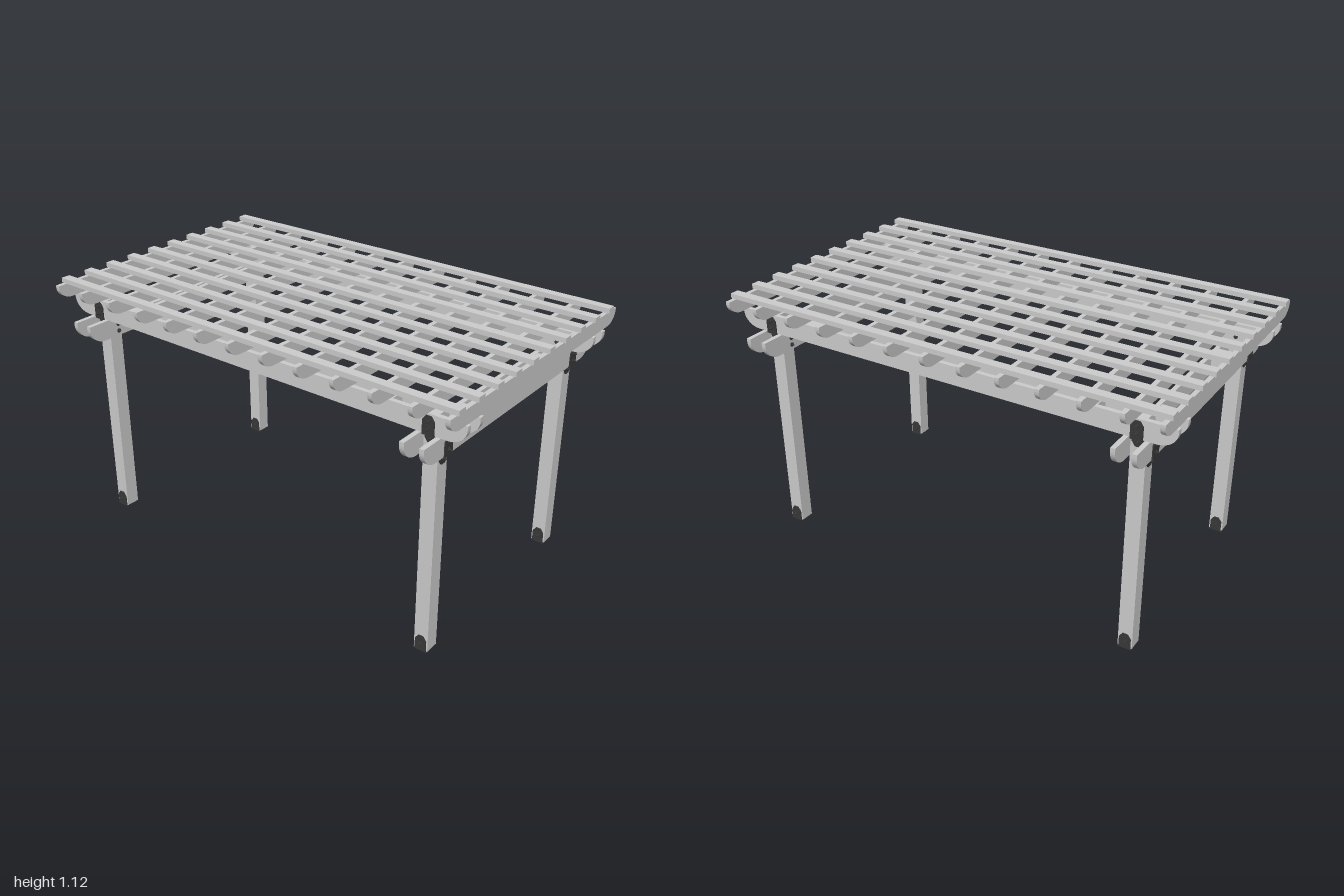
import * as THREE from 'three';
import { toCreasedNormals } from 'three/addons/utils/BufferGeometryUtils.js';

const PX = 0.846, PZ = 0.47;   // post centres
const PW = 0.062, T = 0.02;    // post width, board thickness
const OFF = PW / 2 + T / 2;    // offset of paired beams from the post centre

const wood = new THREE.MeshStandardMaterial({ color: 0xcccccc });
const steel = new THREE.MeshStandardMaterial({ color: 0x383838 });

function add(parent, name, geometry, material, x, y, z) {
  const mesh = new THREE.Mesh(geometry, material);
  mesh.name = name;
  mesh.position.set(x, y, z);
  parent.add(mesh);
  return mesh;
}

// Board along x, standing on y = 0, with both lower ends rounded
function boardGeometry(length, height, rx, ry) {
  const h = length / 2;
  const s = new THREE.Shape();
  s.moveTo(-h, height);
  s.lineTo(-h, ry);
  s.absellipse(-h + rx, ry, rx, ry, Math.PI, Math.PI * 1.5, false);
  s.lineTo(h - rx, 0);
  s.absellipse(h - rx, ry, rx, ry, -Math.PI / 2, 0, false);
  s.lineTo(h, height);
  s.closePath();
  const g = new THREE.ExtrudeGeometry(s, { depth: T, bevelEnabled: false, curveSegments: 12 });
  g.translate(0, 0, -T / 2);
  return toCreasedNormals(g, 0.6);
}

// Upright steel plate facing +z, back on z = 0, with clipped corners
function plateGeometry(w, y0, y1, clipBottom, clipTop, depth) {
  const a = w / 2, c = 0.014;
  const b = clipBottom ? c : 0, t = clipTop ? c : 0;
  const s = new THREE.Shape([
    [-a + b, y0], [a - b, y0], [a, y0 + b * 1.4], [a, y1 - t * 1.4],
    [a - t, y1], [-a + t, y1], [-a, y1 - t * 1.4], [-a, y0 + b * 1.4],
  ].map(([x, y]) => new THREE.Vector2(x, y)));
  return new THREE.ExtrudeGeometry(s, { depth, bevelEnabled: false });
}

// Washer with a hex nut, pointing along +z
function addBolt(parent, x, y, z, dir = 1) {
  const washer = new THREE.CylinderGeometry(0.009, 0.009, 0.004, 12).rotateX(Math.PI / 2);
  const nut = new THREE.CylinderGeometry(0.003, 0.006, 0.01, 6).rotateX(dir * Math.PI / 2);
  add(parent, 'washer', washer, steel, x, y, z + dir * 0.002);
  add(parent, 'nut', nut, steel, x, y, z + dir * 0.008);
}

// Connector on a beam pair: +z is the outer side, y = 0 the beam's underside
function makeConnector(top) {
  const g = new THREE.Group();
  g.name = 'beamConnector';
  const face = PW / 2 + T;
  add(g, 'connectorPlate', plateGeometry(0.05, 0, top, false, true, 0.005), steel, 0, 0, face);
  add(g, 'connectorLug', plateGeometry(0.05, -0.042, 0, true, false, 0.005), steel, 0, 0, PW / 2);
  add(g, 'connectorShelf', new THREE.BoxGeometry(0.05, 0.004, T + 0.005), steel,
    0, -0.002, PW / 2 + (T + 0.005) / 2);
  for (const y of [0.022, 0.053]) {
    addBolt(g, 0, y, face + 0.005);
    addBolt(g, 0, y, -face, -1);
  }
  addBolt(g, 0, -0.021, PW / 2 + 0.005);
  return g;
}

export function createModel() {
  const model = new THREE.Group();
  model.name = 'pergola';

  const longBeam = boardGeometry(2, 0.08, 0.08, 0.065);
  const crossBeam = boardGeometry(1.246, 0.085, 0.08, 0.07).rotateY(Math.PI / 2);
  const rafter = boardGeometry(1.246, 0.062, 0.065, 0.052).rotateY(Math.PI / 2);
  const slat = new THREE.BoxGeometry(2, 0.021, 0.04);

  for (const sx of [-1, 1]) {
    for (const sz of [-1, 1]) {
      const corner = new THREE.Group();
      corner.name = 'corner';
      corner.position.set(sx * PX, 0, sz * PZ);
      model.add(corner);

      // Post and its base bracket
      add(corner, 'post', new THREE.BoxGeometry(PW, 1.036, PW), wood, 0, 0.522, 0);
      add(corner, 'basePlate', new THREE.BoxGeometry(PW, 0.005, PW + 0.008), steel, 0, 0.0025, 0);
      for (const turn of [0, Math.PI]) {
        const tab = new THREE.Group();
        tab.name = 'baseTab';
        tab.rotation.y = turn;
        add(tab, 'tabPlate', plateGeometry(0.05, 0, 0.07, false, true, 0.004), steel, 0, 0, PW / 2);
        addBolt(tab, 0, 0.033, PW / 2 + 0.004);
        corner.add(tab);
      }

      // Connectors on the long beams and the cross beams
      const front = makeConnector(0.073);
      front.position.y = 0.96;
      front.rotation.y = sz > 0 ? 0 : Math.PI;
      const side = makeConnector(0.077);
      side.position.y = 0.875;
      side.rotation.y = sx * Math.PI / 2;
      corner.add(front, side);

      // Spacer blocks held between the paired beams
      add(model, 'longBeamSpacer', new THREE.BoxGeometry(0.08, 0.078, PW), wood,
        sx * 0.64, 1.0, sz * PZ);
      add(model, 'crossBeamSpacer', new THREE.BoxGeometry(PW, 0.083, 0.08), wood,
        sx * PX, 0.9175, sz * 0.28);
    }
  }

  // Paired beams clasping the posts
  for (const s of [-1, 1]) {
    for (const o of [-OFF, OFF]) {
      add(model, 'crossBeam', crossBeam, wood, s * PX + o, 0.875, 0);
      add(model, 'longBeam', longBeam, wood, 0, 0.96, s * PZ + o);
    }
  }

  // Rafters, the outermost pulled in to the ends of the slats
  for (let i = -6; i <= 6; i++) {
    const x = Math.abs(i) === 6 ? Math.sign(i) * 0.982 : i / 6;
    add(model, 'rafter', rafter, wood, x, 1.042, 0);
  }

  // Roof slats
  for (let i = 0; i < 10; i++) {
    add(model, 'slat', slat, wood, 0, 1.1145, (i - 4.5) * 0.125);
  }

  return model;
}
